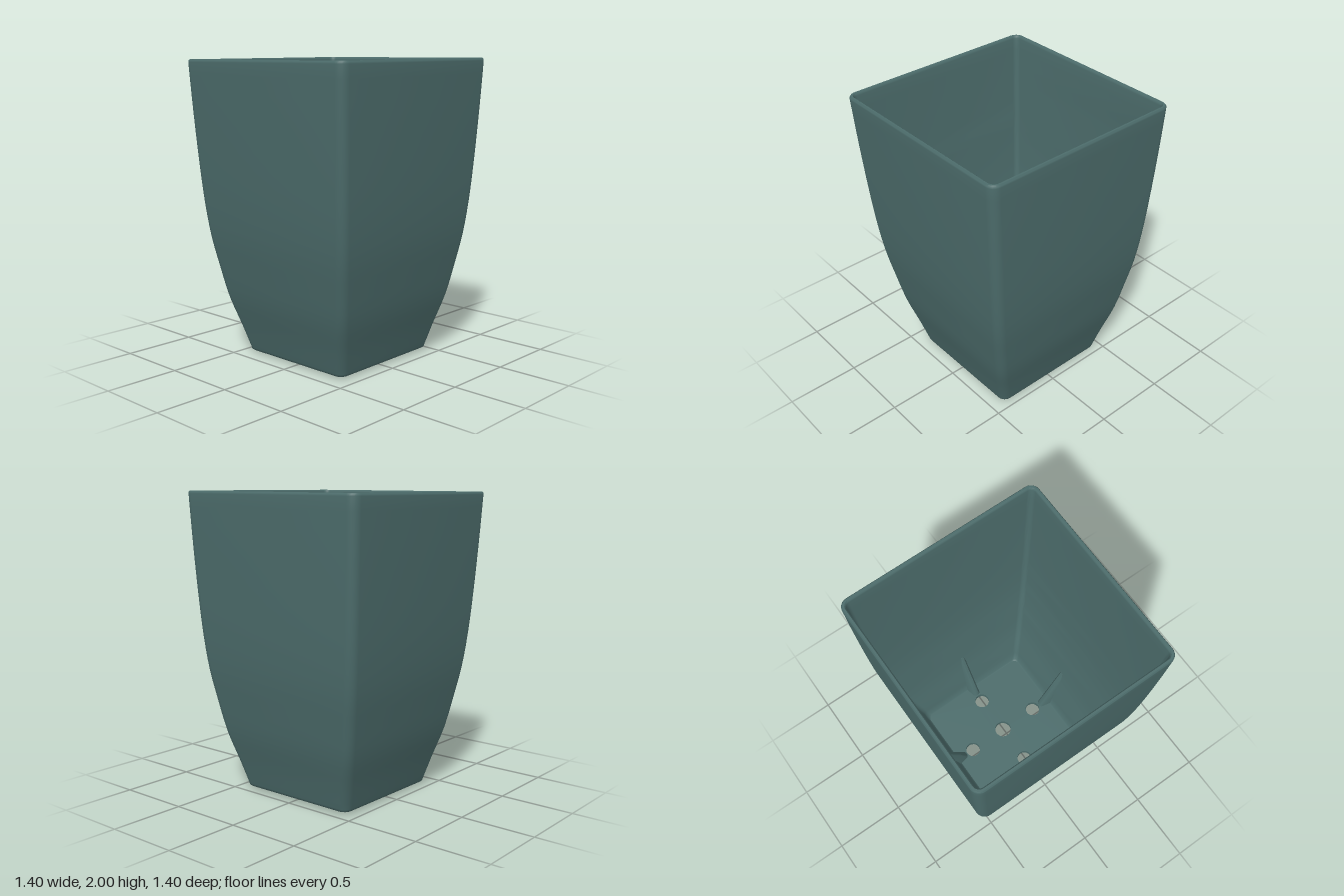
import * as THREE from 'three';
import { toCreasedNormals } from 'three/addons/utils/BufferGeometryUtils.js';

const WALL = 0.028, FLOOR_LOW = 0.02, FLOOR_TOP = 0.06, RIM = 1.993;

// Points of a rounded square with half-width h and corner radius r
function roundedSquare(h, r, steps = 6) {
  const points = [];
  for (let corner = 0; corner < 4; corner++) {
    const mid = (corner + 0.5) * Math.PI / 2;
    const cx = Math.sign(Math.cos(mid)) * (h - r), cy = Math.sign(Math.sin(mid)) * (h - r);
    for (let s = 0; s <= steps; s++) {
      const a = (corner + s / steps) * Math.PI / 2;
      points.push(new THREE.Vector2(cx + r * Math.cos(a), cy + r * Math.sin(a)));
    }
  }
  return points;
}

// Skin over rings of [x, y, z] points
function loft(rings, closed) {
  const n = rings[0].length, index = [];
  for (let i = 0; i < rings.length - 1; i++) {
    for (let j = 0; j < (closed ? n : n - 1); j++) {
      const k = (j + 1) % n;
      const a = i * n + j, b = i * n + k, c = a + n, d = b + n;
      index.push(a, c, b, b, c, d);
    }
  }
  const g = new THREE.BufferGeometry();
  g.setAttribute('position', new THREE.Float32BufferAttribute(rings.flat(2), 3));
  g.setIndex(index);
  return g;
}

// The pot leans very slightly, with its rim a touch lower on one side
function lean(geometry) {
  const p = geometry.attributes.position;
  for (let i = 0; i < p.count; i++) {
    const x = p.getX(i), y = p.getY(i), t = 1 - y / 2;
    p.setXYZ(i, x + 0.03 * t, y + 0.007 * x, p.getZ(i) - 0.013 * t);
  }
  return toCreasedNormals(geometry, 0.7);
}

export function createModel() {
  const pot = new THREE.Group();
  pot.name = 'squarePlanter';
  const green = new THREE.MeshStandardMaterial({ color: 0x4c6c6b });
  green.name = 'dark teal';
  const add = (name, geometry) => {
    const mesh = new THREE.Mesh(lean(geometry), green);
    mesh.name = name;
    pot.add(mesh);
  };

  // Walls: up the outside, over the rim and down the inside
  const side = new THREE.SplineCurve([
    [0.44, 0.04], [0.483, 0.2], [0.54, 0.4], [0.583, 0.62], [0.618, 0.82],
    [0.643, 1.04], [0.663, 1.3], [0.684, 1.65], [0.7, 1.975],
  ].map(([h, y]) => new THREE.Vector2(h, y))).getPoints(24);
  const profile = [[0.415, FLOOR_LOW, 0.045], [0.428, 0.021, 0.05], [0.436, 0.028, 0.055]];
  side.forEach((p) => profile.push([p.x, p.y, 0.06]));
  profile.push([0.699, 1.986, 0.06], [0.693, RIM, 0.055], [0.681, RIM, 0.045], [0.674, 1.986, 0.035]);
  side.slice().reverse().forEach((p) => {
    if (p.y > 0.085) profile.push([p.x - WALL, p.y, 0.035]);
  });
  profile.push([0.422, 0.07, 0.035], [0.412, FLOOR_TOP, 0.035]);
  add('walls', loft(profile.map(([h, y, r]) => roundedSquare(h, r).map((p) => [p.x, y, p.y])), true));

  // Floor with five drainage holes
  const floor = new THREE.Shape(roundedSquare(0.415, 0.045));
  for (const [x, y, r] of [[0, 0, 0.06], [0.28, 0, 0.053], [-0.28, 0, 0.053], [0, 0.28, 0.053], [0, -0.28, 0.053]]) {
    floor.holes.push(new THREE.Path().absarc(x, y, r, 0, Math.PI * 2, true));
  }
  const floorGeometry = new THREE.ExtrudeGeometry(floor, {
    depth: FLOOR_TOP - FLOOR_LOW, bevelEnabled: false, curveSegments: 8,
  });
  floorGeometry.rotateX(-Math.PI / 2).translate(0, FLOOR_LOW, 0);
  add('floor', floorGeometry);

  // Sloping ribs between the floor and the middle of each wall
  for (let i = 0; i < 4; i++) {
    const rings = [0, 0.33, 0.67, 1].map((t) => {
      const mix = (a, b) => THREE.MathUtils.lerp(a, b, t);
      const y = mix(0.05, 0.47), ridge = mix(0.335, 0.525), wall = mix(0.435, 0.545);
      const base = mix(0.045, 0.022), tip = mix(0.026, 0.016);
      return [[wall, y, base], [ridge + 0.012, y, tip], [ridge, y, tip / 2],
        [ridge, y, -tip / 2], [ridge + 0.012, y, -tip], [wall, y, -base]];
    });
    add('rib' + (i + 1), loft(rings, false).rotateY(i * Math.PI / 2));
  }

  // Low round feet under the corners
  for (const x of [-0.3, 0.3]) {
    for (const z of [-0.3, 0.3]) {
      add('foot', new THREE.CylinderGeometry(0.05, 0.042, 0.02, 16).translate(x, 0.013, z));
    }
  }
  return pot;
}
